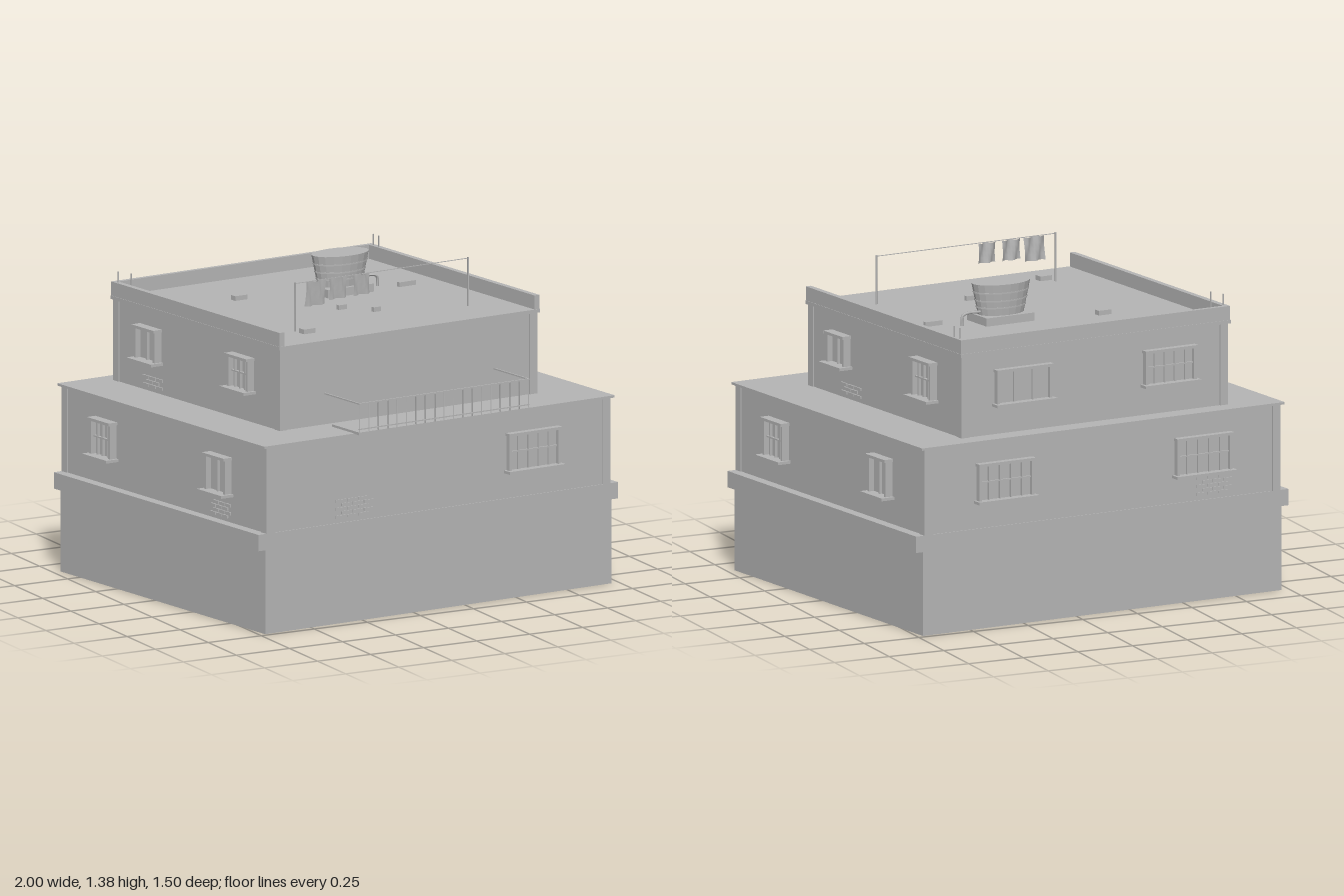
import * as THREE from 'three';

// Plan is a parallelogram: everything is built square in (a, y, b), then skewed
const SKEW = new THREE.Matrix4().set(
  0.998, 0, 0.175, 0,
  0, 1, 0, 0,
  -0.063, 0, 0.985, 0,
  0, 0, 0, 1);

export function createModel() {
  const root = new THREE.Group();
  root.name = 'terracedHouse';
  const plaster = new THREE.MeshStandardMaterial({ color: 0xb4b4b4, side: THREE.DoubleSide });
  plaster.name = 'greyPlaster';

  function add(name, geo, parent = root, matrix = null) {
    if (matrix) geo.applyMatrix4(matrix);
    geo.applyMatrix4(SKEW);
    geo.computeVertexNormals();
    const mesh = new THREE.Mesh(geo, plaster);
    mesh.name = name;
    parent.add(mesh);
    return mesh;
  }
  // Box from its limits
  function block(name, a0, a1, y0, y1, b0, b1, parent = root, matrix = null) {
    const g = new THREE.BoxGeometry(a1 - a0, y1 - y0, b1 - b0);
    g.translate((a0 + a1) / 2, (y0 + y1) / 2, (b0 + b1) / 2);
    return add(name, g, parent, matrix);
  }
  function rod(name, a, b, y0, y1, r = 0.003, parent = root) {
    const g = new THREE.CylinderGeometry(r, r, y1 - y0, 6);
    g.translate(a, (y0 + y1) / 2, b);
    return add(name, g, parent);
  }
  function group(name) {
    const g = new THREE.Group();
    g.name = name;
    root.add(g);
    return g;
  }

  // Storeys
  block('baseStorey', -0.846, 0.846, 0, 0.36, -0.692, 0.692);
  block('baseBand', -0.879, 0.879, 0.36, 0.43, -0.692, 0.692);
  block('middleWalls', -0.836, 0.836, 0.43, 0.797, -0.688, 0.688);
  block('terraceSlab', -0.856, 0.856, 0.797, 0.807, -0.7, 0.7);
  block('upperWalls', -0.632, 0.616, 0.807, 1.155, -0.62, 0.497);
  block('roofSlab', -0.645, 0.629, 1.155, 1.17, -0.632, 0.51);

  // Corner pilasters
  function pilasters(name, a0, a1, b0, b1, y0, y1) {
    const w = 0.032, o = 0.005;
    for (const [a, sa] of [[a0, 1], [a1, -1]])
      for (const [b, sb] of [[b0, 1], [b1, -1]]) {
        const as = [a - sa * o, a + sa * w].sort((p, q) => p - q);
        const bs = [b - sb * o, b + sb * w].sort((p, q) => p - q);
        block(name, ...as, y0, y1, ...bs);
      }
  }
  pilasters('middlePilaster', -0.836, 0.836, -0.688, 0.688, 0.43, 0.797);
  pilasters('upperPilaster', -0.632, 0.616, -0.62, 0.497, 0.807, 1.155);

  // Parapet, open at the front
  block('parapetLeft', 0.603, 0.627, 1.17, 1.23, -0.63, 0.508);
  block('parapetRight', -0.643, -0.619, 1.17, 1.23, -0.63, 0.508);
  block('parapetBack', -0.619, 0.603, 1.17, 1.23, -0.63, -0.612);

  // Wall frames: s runs along the wall, z points outward
  const walls = {
    front: { turn: 0, sign: 1, deep: 1 },
    back: { turn: Math.PI, sign: -1, deep: 1 },
    plusX: { turn: Math.PI / 2, sign: -1, deep: 1.5 },
    minusX: { turn: -Math.PI / 2, sign: 1, deep: 1.5 },
  };
  function wallMatrix(side, along, y, dist) {
    const w = walls[side];
    return new THREE.Matrix4().makeRotationY(w.turn)
      .multiply(new THREE.Matrix4().makeTranslation(w.sign * along, y, dist))
      .multiply(new THREE.Matrix4().makeScale(1, 1, w.deep));
  }

  // Window with frame, mullions, optional crossbar, lintel and sill
  function windowOn(side, dist, along, y0, y1, width, panes, crossbar) {
    const g = group('window');
    const m = wallMatrix(side, along, y0, dist);
    const h = y1 - y0, w = width / 2, t = 0.012;
    block('glass', -w, w, 0, h, 0, 0.006, g, m);
    block('frameSide', -w, -w + t, 0, h, 0, 0.022, g, m);
    block('frameSide', w - t, w, 0, h, 0, 0.022, g, m);
    block('lintel', -w - 0.004, w + 0.004, h - t, h, 0, 0.028, g, m);
    block('sill', -w - 0.012, w + 0.012, -0.008, 0.004, 0, 0.04, g, m);
    for (let i = 1; i < panes; i++) {
      const s = -w + width * i / panes;
      block('mullion', s - 0.003, s + 0.003, 0, h - t, 0, 0.014, g, m);
    }
    if (crossbar) block('crossbar', -w, w, h * 0.5 - 0.003, h * 0.5 + 0.003, 0, 0.014, g, m);
  }
  windowOn('front', 0.688, 0.46, 0.547, 0.71, 0.25, 5, true);
  windowOn('back', 0.688, -0.474, 0.547, 0.71, 0.26, 5, true);
  windowOn('back', 0.688, 0.462, 0.547, 0.71, 0.26, 5, true);
  windowOn('back', 0.62, -0.358, 0.935, 1.085, 0.24, 5, true);
  windowOn('back', 0.62, 0.333, 0.935, 1.085, 0.26, 3, false);
  windowOn('plusX', 0.836, 0.38, 0.545, 0.71, 0.145, 4, true);
  windowOn('plusX', 0.836, -0.385, 0.545, 0.71, 0.135, 2, false);
  windowOn('plusX', 0.616, 0.263, 0.945, 1.08, 0.132, 2, false);
  windowOn('plusX', 0.616, -0.365, 0.93, 1.095, 0.14, 4, true);
  windowOn('minusX', 0.836, 0.38, 0.55, 0.71, 0.14, 2, false);
  windowOn('minusX', 0.836, -0.396, 0.55, 0.71, 0.14, 4, true);
  windowOn('minusX', 0.632, 0.25, 0.94, 1.085, 0.14, 4, true);
  windowOn('minusX', 0.632, -0.377, 0.94, 1.085, 0.14, 2, false);

  // Patches of exposed brick
  function bricks(side, dist, along, y, rows, length) {
    const g = group('brickPatch');
    const m = wallMatrix(side, along, y, dist);
    for (let r = 0; r < rows; r++)
      for (let i = 0; i < 3 - (r % 2 && rows < 4 ? 1 : 0); i++) {
        const s = (i - 1) * length + (r % 2 ? length / 2 : 0);
        block('brick', s - length * 0.45, s + length * 0.45,
          r * 0.017, r * 0.017 + 0.012, 0, 0.004, g, m);
      }
  }
  bricks('front', 0.688, -0.42, 0.45, 5, 0.055);
  bricks('back', 0.688, -0.52, 0.45, 5, 0.05);
  bricks('plusX', 0.616, 0.19, 0.825, 3, 0.05);
  bricks('minusX', 0.836, 0.37, 0.445, 4, 0.04);
  bricks('minusX', 0.632, -0.36, 0.825, 3, 0.045);

  // Balcony with railing
  const balcony = group('balcony');
  block('balconyFloor', -0.416, 0.416, 0.805, 0.817, 0.548, 0.732, balcony);
  block('topRail', -0.416, 0.416, 0.936, 0.942, 0.727, 0.733, balcony);
  block('lowerRail', -0.416, 0.416, 0.828, 0.833, 0.727, 0.733, balcony);
  for (let i = 0; i <= 18; i++)
    rod('baluster', -0.413 + 0.826 * i / 18, 0.73, 0.817, 0.94, 0.0025, balcony);
  for (const a of [-0.413, 0.413])
    block('sideRail', a - 0.003, a + 0.003, 0.936, 0.942, 0.497, 0.733, balcony);

  // Water tank on its plinth
  const tank = group('waterTank');
  block('plinth', 0.04, 0.265, 1.17, 1.205, -0.255, -0.11, tank);
  const tankShape = (r0, r1, y0, y1) => {
    const g = new THREE.CylinderGeometry(r1, r0, y1 - y0, 20);
    g.scale(1, 1, 0.58);
    g.translate(0.152, (y0 + y1) / 2, -0.183);
    return g;
  };
  add('tankBody', tankShape(0.102, 0.13, 1.205, 1.34).toNonIndexed(), tank);
  for (const y of [1.235, 1.265, 1.3]) {
    const r = 0.102 + 0.028 * (y - 1.205) / 0.135 + 0.003;
    add('tankHoop', tankShape(r, r, y, y + 0.006).toNonIndexed(), tank);
  }
  const pipePath = new THREE.CatmullRomCurve3([
    new THREE.Vector3(0.25, 1.22, -0.19), new THREE.Vector3(0.32, 1.22, -0.19),
    new THREE.Vector3(0.338, 1.21, -0.19), new THREE.Vector3(0.34, 1.17, -0.19)]);
  add('tankPipe', new THREE.TubeGeometry(pipePath, 12, 0.006, 6), tank);

  // Clothesline
  const line = group('clothesline');
  for (const a of [-0.425, 0.422]) rod('linePole', a, 0.31, 1.17, 1.38, 0.004, line);
  block('wire', -0.425, 0.422, 1.374, 1.377, 0.309, 0.311, line);
  for (const [a, w, y] of [[-0.325, 0.1, 1.27], [-0.215, 0.09, 1.285], [-0.1, 0.085, 1.287]]) {
    const cloth = new THREE.PlaneGeometry(w, 1.373 - y, 8, 4);
    const p = cloth.attributes.position;
    for (let i = 0; i < p.count; i++)
      p.setZ(i, 0.009 * Math.sin(p.getX(i) * 110 + p.getY(i) * 25));
    cloth.translate(a, (1.373 + y) / 2, 0.31);
    add('laundry', cloth, line);
  }

  // Bare steel bars at the back corners
  for (const [a, b] of [[-0.63, -0.6], [-0.61, -0.54], [0.615, -0.6], [0.615, -0.56]])
    rod('steelBar', a, b, 1.17, 1.277);

  // Loose blocks on the roof
  for (const [a, b, w, d] of [[-0.263, -0.29, 0.06, 0.03], [0.438, -0.13, 0.08, 0.018],
    [-0.029, 0.08, 0.04, 0.015], [0.062, 0.187, 0.035, 0.014], [-0.398, 0.355, 0.055, 0.035]])
    block('roofBlock', a - w / 2, a + w / 2, 1.17, 1.19, b - d / 2, b + d / 2);

  return root;
}
